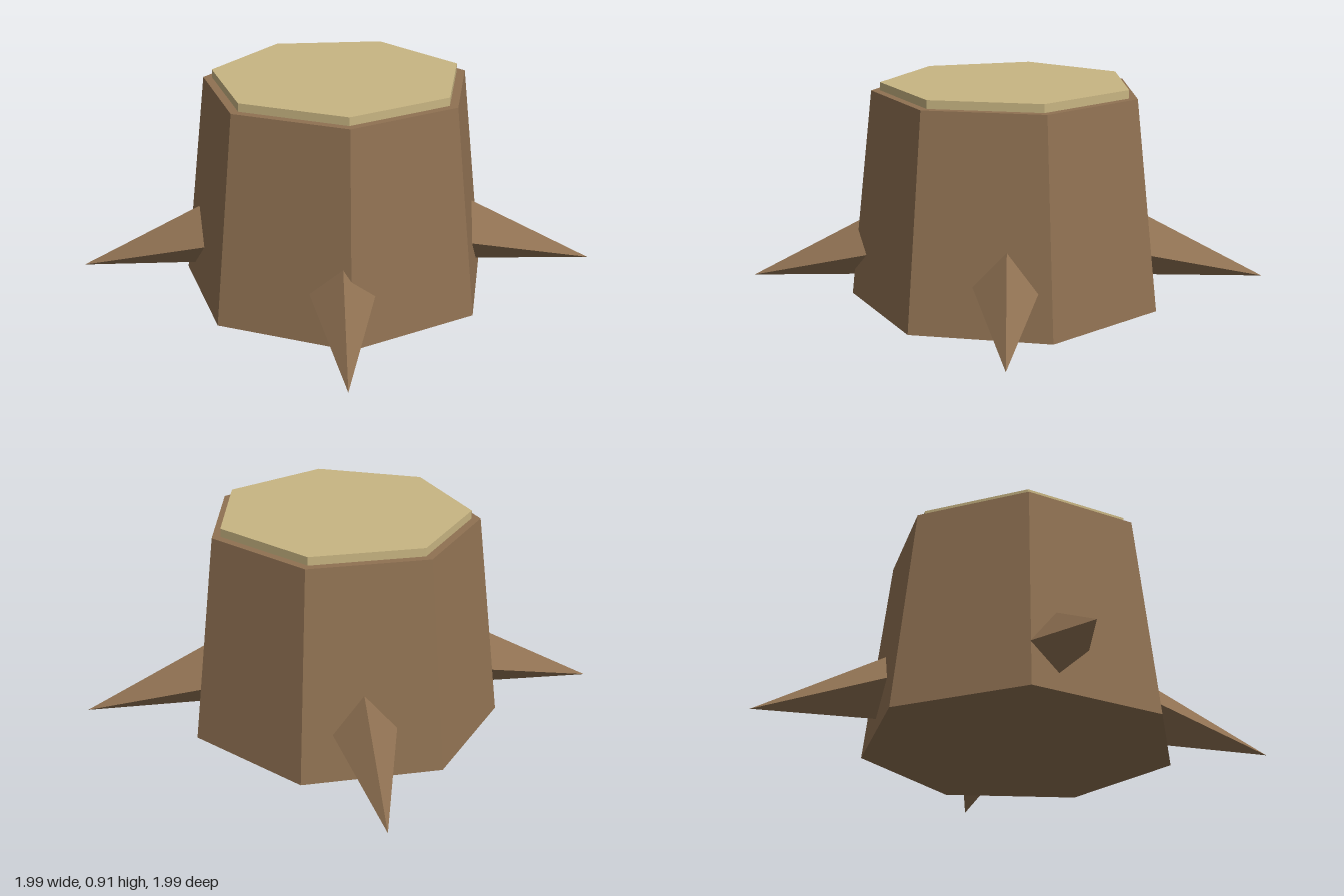
import * as THREE from 'three';

const bark = new THREE.MeshStandardMaterial({ color: 0x8f7152 });
bark.name = 'bark';
const cutWood = new THREE.MeshStandardMaterial({ color: 0xc8b582 });
cutWood.name = 'cutWood';

// Faceted mesh: unshared corners give flat normals
function faceted(name, geometry, material) {
  const flat = geometry.toNonIndexed();
  flat.computeVertexNormals();
  const mesh = new THREE.Mesh(flat, material);
  mesh.name = name;
  return mesh;
}

export function createModel() {
  const stump = new THREE.Group();
  stump.name = 'treeStump';

  // Seven-sided tapering trunk, one corner pointing back
  const trunkHeight = 0.872;
  const trunk = faceted('trunk', new THREE.CylinderGeometry(0.56, 0.66, trunkHeight, 7, 1, false, Math.PI), bark);
  trunk.position.y = trunkHeight / 2;
  stump.add(trunk);

  // Pale sawn disc on top
  const discHeight = 0.034;
  const disc = faceted('sawnTop', new THREE.CylinderGeometry(0.523, 0.523, discHeight, 7, 1, false, Math.PI), cutWood);
  disc.position.y = trunkHeight + discHeight / 2;
  stump.add(disc);

  // Four pointed roots, sloping down and outwards from inside the trunk
  const length = 0.65, tilt = 0.25, tipRadius = 1.081, tipHeight = 0.07;
  for (let i = 0; i < 4; i++) {
    const geometry = new THREE.ConeGeometry(0.159, length, 4);
    geometry.translate(0, -length / 2, 0); // tip at the origin
    geometry.rotateX(Math.PI / 2 + tilt);
    geometry.translate(0, tipHeight, tipRadius);
    const root = faceted('root' + (i + 1), geometry, bark);
    root.rotation.y = 0.4 + i * Math.PI / 2;
    stump.add(root);
  }

  return stump;
}
